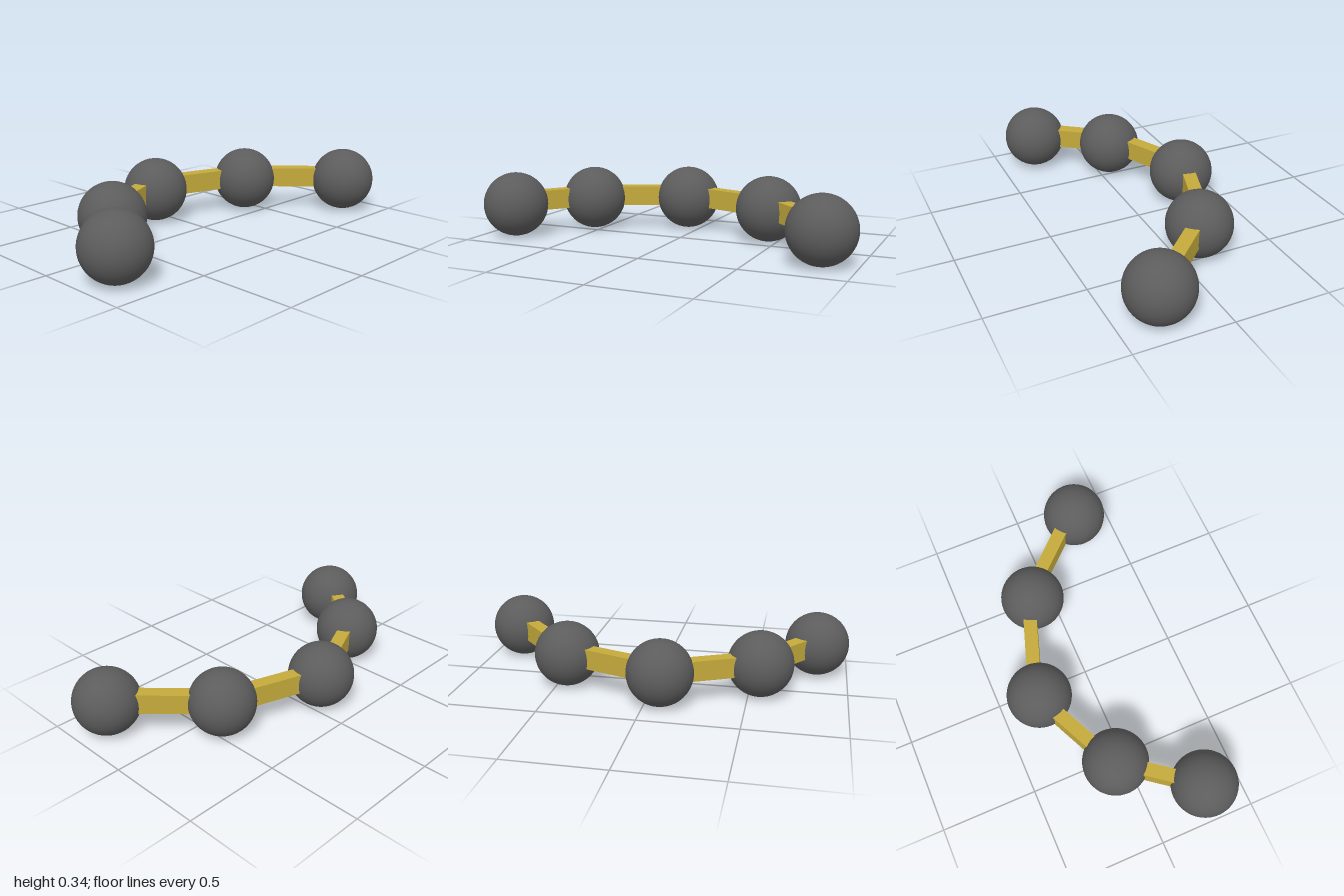
import * as THREE from 'three';

const RADIUS = 0.169;
// Ball centres in plan [x, z], from back to front
const CENTRES = [[0.29, -0.831], [-0.117, -0.448], [-0.292, 0.078], [-0.072, 0.555], [0.29, 0.831]];

export function createModel() {
  const group = new THREE.Group();
  group.name = 'ballChain';

  const ballMaterial = new THREE.MeshStandardMaterial({ color: 0x5c5c5c });
  ballMaterial.name = 'dark grey';
  const rodMaterial = new THREE.MeshStandardMaterial({ color: 0xc4aa3c });
  rodMaterial.name = 'gold';

  // Smooth balls
  const ballGeometry = new THREE.SphereGeometry(RADIUS, 48, 32);
  CENTRES.forEach(([x, z], i) => {
    const ball = new THREE.Mesh(ballGeometry, ballMaterial);
    ball.name = `ball${i + 1}`;
    ball.position.set(x, RADIUS, z);
    group.add(ball);
  });

  // Flat rods joining neighbouring balls, set slightly off their centres
  for (let i = 0; i < CENTRES.length - 1; i++) {
    const [x0, z0] = CENTRES[i];
    const [x1, z1] = CENTRES[i + 1];
    const length = Math.hypot(x1 - x0, z1 - z0);
    const rod = new THREE.Mesh(new THREE.BoxGeometry(0.07, 0.105, length), rodMaterial);
    rod.name = `rod${i + 1}`;
    rod.position.set((x0 + x1) / 2 - 0.02, 0.178, (z0 + z1) / 2);
    rod.rotation.y = Math.atan2(x1 - x0, z1 - z0);
    group.add(rod);
  }
  return group;
}
